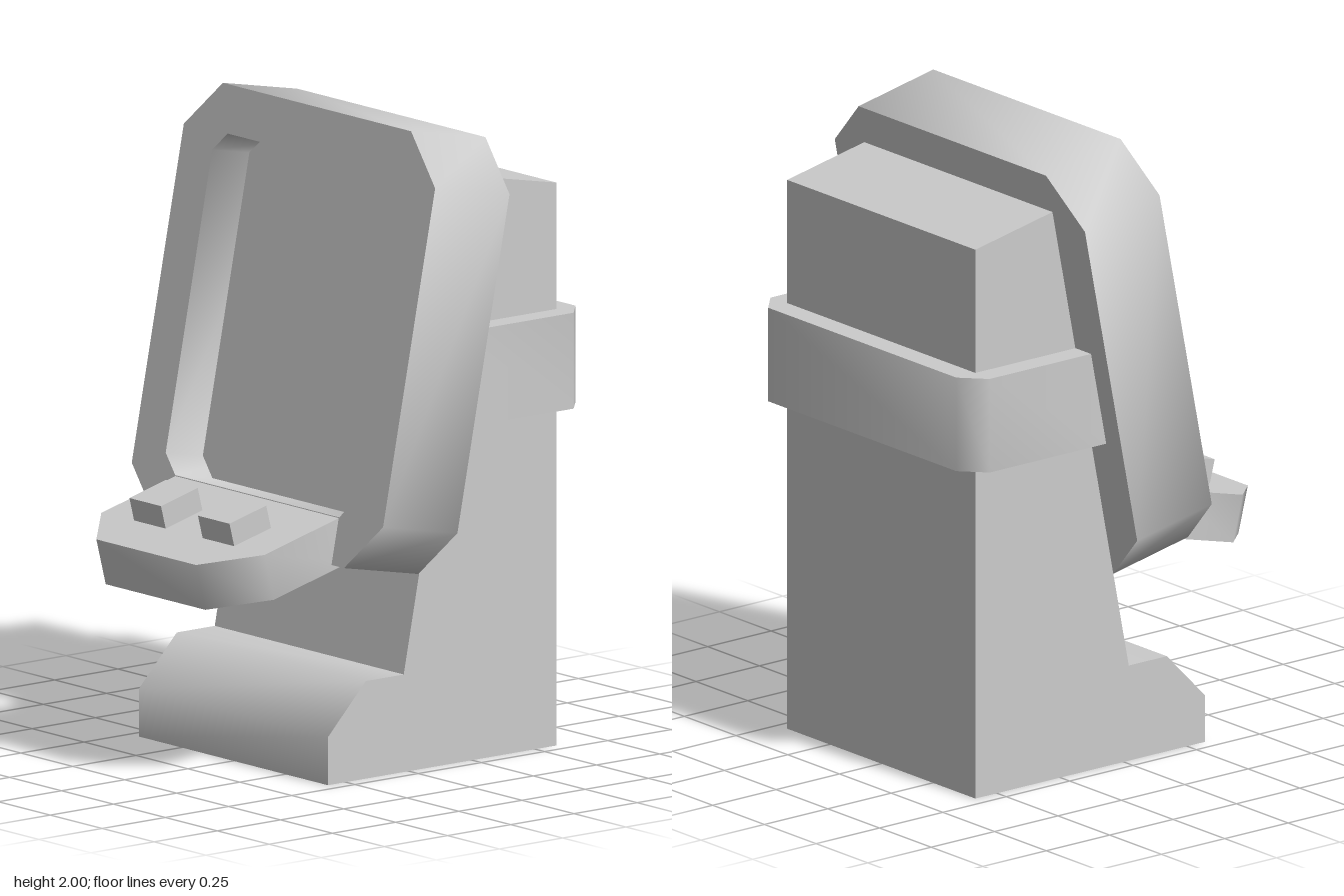
import * as THREE from 'three';
import { toCreasedNormals } from 'three/addons/utils/BufferGeometryUtils.js';

const material = new THREE.MeshStandardMaterial({ color: 0xcccccc });

const toShape = (points) => new THREE.Shape(points.map(([x, y]) => new THREE.Vector2(x, y)));

// Extrudes a shape along z, centred on z = 0; 45 degree chamfers shade softly.
function slab(shape, depth) {
  const geometry = new THREE.ExtrudeGeometry(shape, { depth, bevelEnabled: false });
  geometry.translate(0, 0, -depth / 2);
  return geometry;
}

function part(name, geometry) {
  const mesh = new THREE.Mesh(toCreasedNormals(geometry, 0.9), material);
  mesh.name = name;
  return mesh;
}

// Rectangle with all four corners cut off.
function cutRect(halfW, halfH, cut) {
  return [
    [halfW, -halfH + cut], [halfW, halfH - cut], [halfW - cut, halfH], [-halfW + cut, halfH],
    [-halfW, halfH - cut], [-halfW, -halfH + cut], [-halfW + cut, -halfH], [halfW - cut, -halfH],
  ];
}

export function createModel() {
  const model = new THREE.Group();
  model.name = 'console';

  // Pedestal: side profile (z, y) swept across the width
  const profile = [
    [0.32, 0], [0.32, 0.15], [0.17, 0.305], [0.02, 0.305],
    [-0.281, 1.82], [-0.585, 1.76], [-0.585, 0],
  ];
  const pedestal = slab(toShape(profile.reverse()), 0.91);
  pedestal.rotateY(-Math.PI / 2);
  model.add(part('pedestal', pedestal));

  // Tilted display: bezel with an opening, and a recessed screen filling its rear half
  const display = new THREE.Group();
  display.name = 'display';
  display.position.set(0, 1.305, -0.025);
  display.rotation.x = -0.197;
  const opening = cutRect(0.455, 0.53, 0.06);
  const bezelShape = toShape(cutRect(0.605, 0.678, 0.152));
  bezelShape.holes.push(toShape(opening.slice().reverse()));
  const screen = part('screen', slab(toShape(opening), 0.15));
  screen.position.z = -0.075;
  display.add(part('bezel', slab(bezelShape, 0.3)), screen);
  model.add(display);

  // Band wrapped around the back of the pedestal; outline is (x, -z)
  const band = slab(toShape([
    [-0.53, 0.12], [0.53, 0.12], [0.53, 0.59], [0.455, 0.66], [-0.455, 0.66], [-0.53, 0.59],
  ]), 0.3);
  band.rotateX(-Math.PI / 2);
  band.translate(0, 1.215, 0);
  model.add(part('backBand', band));

  // Sloping control shelf, with its origin at the front top edge; outline is (x, -z)
  const controls = new THREE.Group();
  controls.name = 'controls';
  controls.position.set(0, 0.7, 0.665);
  controls.rotation.x = 0.25;
  const shelf = slab(toShape([
    [-0.24, 0], [0.24, 0], [0.393, 0.15], [0.393, 0.46], [-0.393, 0.46], [-0.393, 0.15],
  ]), 0.15);
  shelf.rotateX(-Math.PI / 2);
  shelf.translate(0, -0.075, 0);
  controls.add(part('controlShelf', shelf));

  // Pair of buttons
  for (const side of [1, -1]) {
    const button = part(side > 0 ? 'leftButton' : 'rightButton', new THREE.BoxGeometry(0.152, 0.095, 0.15));
    button.position.set(side * 0.165, 0.0275, -0.23);
    controls.add(button);
  }
  model.add(controls);

  return model;
}
